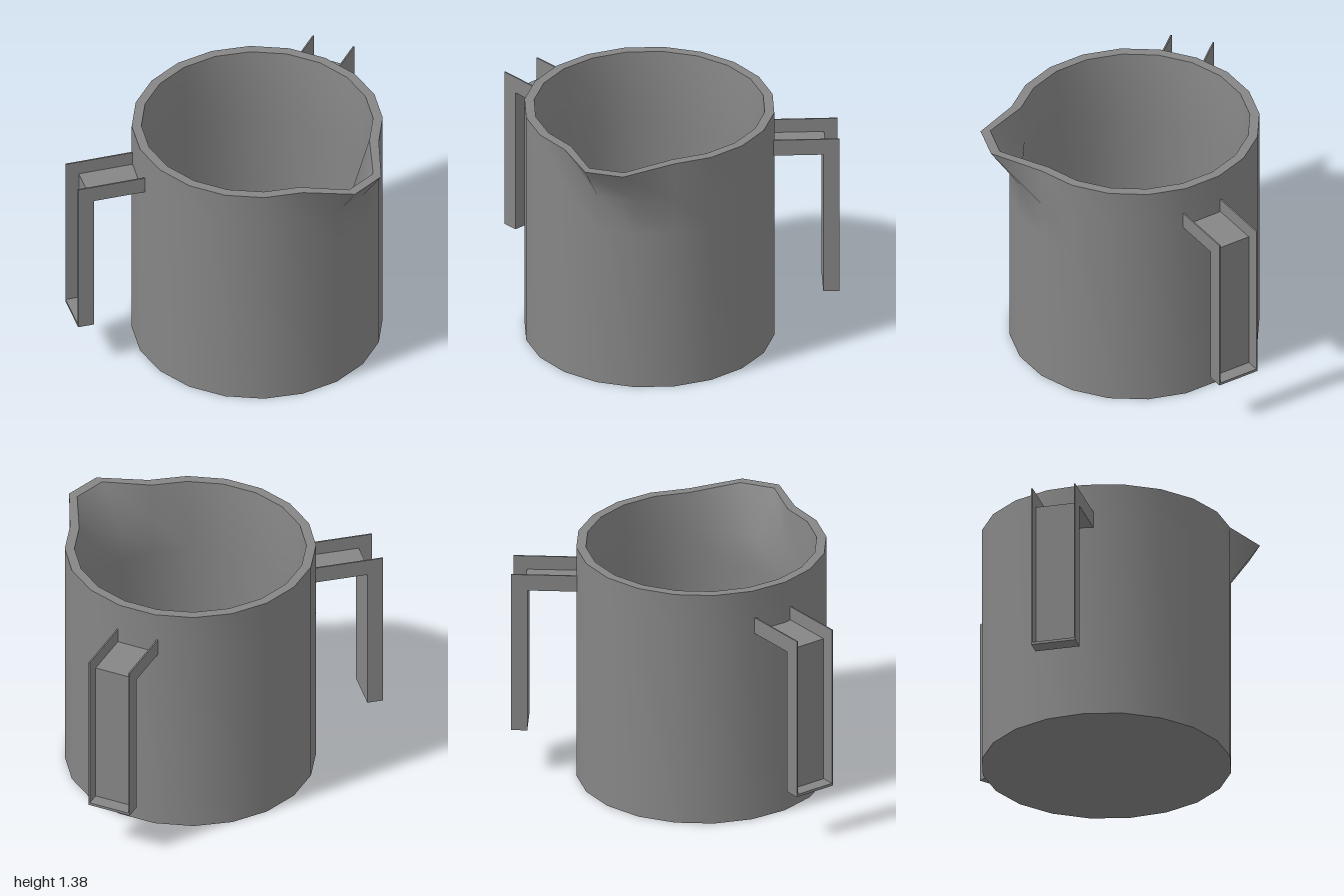
import * as THREE from 'three';
import { toCreasedNormals } from 'three/addons/utils/BufferGeometryUtils.js';

const CENTRE_X = -0.08, CENTRE_Z = -0.02;
const RIM_Y = 1.385, SPOUT_Y = 1.16;
const OUTER_R = 0.69, RIM_R = 0.637, INNER_R = 0.617;

const material = new THREE.MeshStandardMaterial({ color: 0x868686 });

function addMesh(parent, name, geometry) {
  const mesh = new THREE.Mesh(geometry, material);
  mesh.name = name;
  parent.add(mesh);
  return mesh;
}

// 20-sided turned surface; two neighbouring rim corners are pulled out into a spout.
function cupSurface(profile) {
  const geometry = new THREE.LatheGeometry(profile.map(([r, y]) => new THREE.Vector2(r, y)), 20);
  const p = geometry.attributes.position;
  for (let i = 0; i < p.count; i++) {
    const angle = Math.round(THREE.MathUtils.radToDeg(Math.atan2(p.getZ(i), p.getX(i))));
    const onRim = p.getY(i) > RIM_Y - 0.01;
    if (onRim && (angle === 0 || angle === -18)) p.setX(i, p.getX(i) + 0.16);
  }
  return toCreasedNormals(geometry, 1.2);
}

// Extrudes a side profile (distance from the cup axis, height) across the handle.
function plate(points, width, offset) {
  const shape = new THREE.Shape(points.map(([u, y]) => new THREE.Vector2(u, y)));
  const geometry = new THREE.ExtrudeGeometry(shape, { depth: width, bevelEnabled: false });
  return geometry.translate(0, 0, offset - width / 2);
}

// L-shaped channel: a thin web between two side flanges, open above and outwards.
function createHandle(name, reach, dx, dz) {
  const handle = new THREE.Group();
  handle.name = name;
  const start = 0.65, width = 0.25, depth = 0.09, wall = 0.015, flange = 0.008;
  const low = 0.275, under = 1.125, top = 1.22;
  const back = reach - depth;

  const web = [
    [start, under], [back, under], [back, low], [reach, low], [reach, low + wall],
    [back + wall, low + wall], [back + wall, under + wall], [start, under + wall],
  ];
  addMesh(handle, name + 'Web', plate(web, width - 2 * flange, 0));

  const side = [
    [start, under], [back, under], [back, low], [reach, low], [reach, top], [start, top],
  ];
  for (const s of [-1, 1]) {
    addMesh(handle, name + 'Flange', plate(side, flange, s * (width - flange) / 2));
  }
  handle.rotation.y = Math.atan2(-dz, dx);
  return handle;
}

export function createModel() {
  const model = new THREE.Group();
  model.name = 'twoHandledJug';
  const jug = new THREE.Group();
  jug.name = 'jug';
  jug.position.set(CENTRE_X, 0, CENTRE_Z);
  model.add(jug);

  // Cup: outside with base, flat rim, inside with floor
  addMesh(jug, 'cupOutside', cupSurface(
    [[0, 0], [OUTER_R, 0], [OUTER_R, 0.95], [OUTER_R, SPOUT_Y], [OUTER_R, RIM_Y]]));
  addMesh(jug, 'cupRim', cupSurface([[OUTER_R, RIM_Y], [RIM_R, RIM_Y]]));
  addMesh(jug, 'cupInside', cupSurface(
    [[RIM_R, RIM_Y], [INNER_R, SPOUT_Y], [INNER_R, 0.95], [INNER_R, 0.06], [0, 0.06]]));

  const frontHandle = createHandle('frontHandle', 1.05, -0.387, 0.922);
  frontHandle.position.x = -0.018;
  jug.add(frontHandle);
  jug.add(createHandle('backHandle', 1.04, -0.455, -0.89));
  return model;
}
